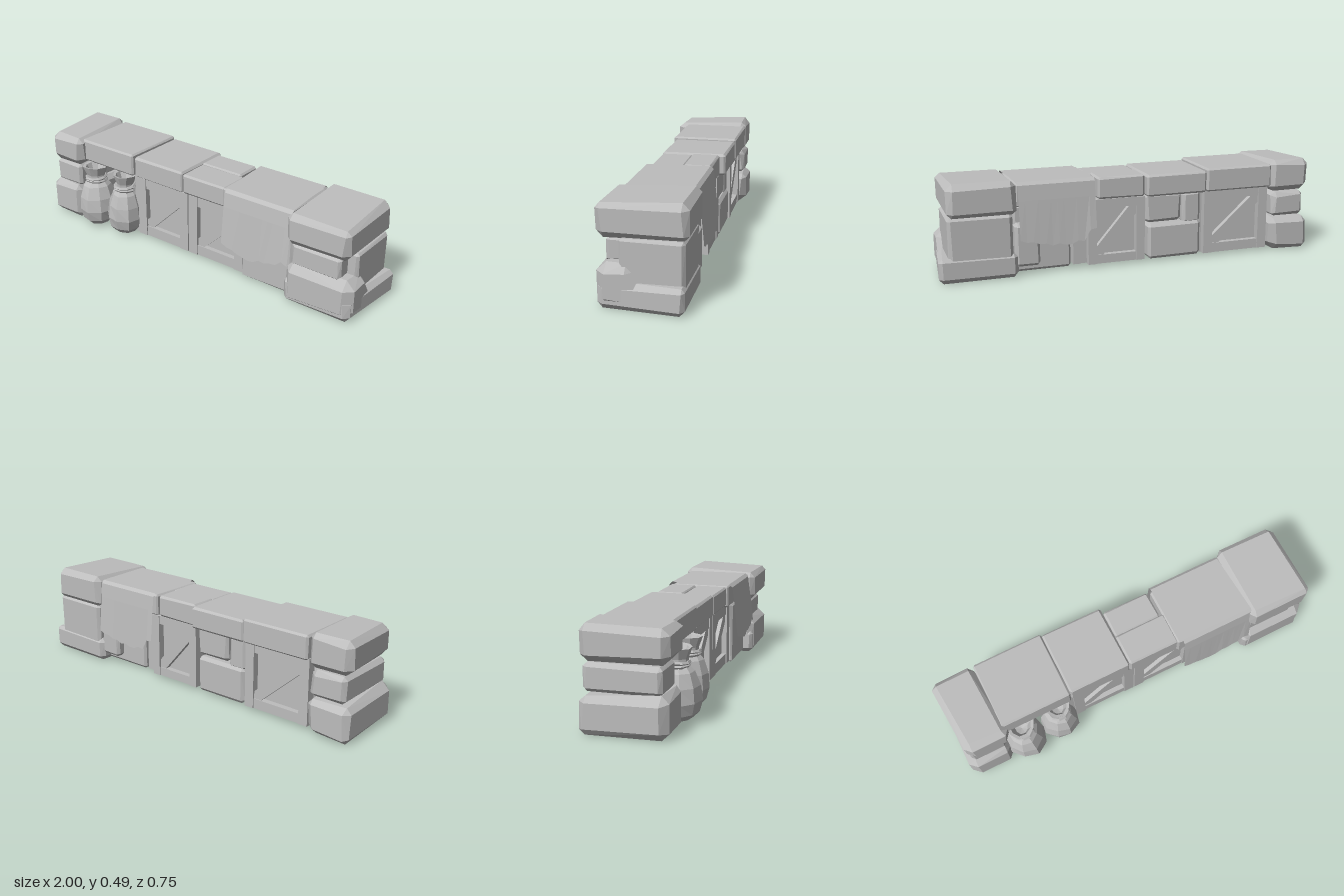
import * as THREE from 'three';
import { ConvexGeometry } from 'three/addons/geometries/ConvexGeometry.js';

export function createModel() {
  const root = new THREE.Group();
  root.name = 'barricade';
  const wall = new THREE.Group();
  wall.name = 'wall';
  wall.rotation.y = -0.185; // the wall stands at a slight angle
  root.add(wall);

  const grey = new THREE.MeshStandardMaterial({ color: 0xbdbdbd, flatShading: true, side: THREE.DoubleSide });
  grey.name = 'plain grey';

  let seed = 7;
  const rand = () => ((seed = (seed * 16807) % 2147483647) / 2147483647) - 0.5;

  function add(name, geometry, parent = wall) {
    const mesh = new THREE.Mesh(geometry, grey);
    mesh.name = name;
    parent.add(mesh);
    return mesh;
  }

  // chipped block: chamfered box with slightly uneven corners
  function rock(name, [x0, x1], [y0, y1], [z0, z1], bevel = 0.02, wobble = 0.006, warp = null) {
    const c = [(x0 + x1) / 2, (y0 + y1) / 2, (z0 + z1) / 2];
    const h = [(x1 - x0) / 2, (y1 - y0) / 2, (z1 - z0) / 2];
    const points = [];
    for (const sx of [-1, 1]) for (const sy of [-1, 1]) for (const sz of [-1, 1]) {
      const s = [sx, sy, sz];
      const b = bevel * (1 + rand() * 0.5);
      for (let axis = 0; axis < 3; axis++) {
        const v = s.map((sign, i) => c[i] + sign * (h[i] - (i === axis ? 0 : b)));
        const p = new THREE.Vector3(...v.map((n, i) => (i === axis ? n : n + rand() * wobble)));
        if (warp) warp(p);
        points.push(p);
      }
    }
    return add(name, new ConvexGeometry(points));
  }

  function box(name, [x0, x1], [y0, y1], [z0, z1], parent) {
    const mesh = add(name, new THREE.BoxGeometry(x1 - x0, y1 - y0, z1 - z0), parent);
    mesh.position.set((x0 + x1) / 2, (y0 + y1) / 2, (z0 + z1) / 2);
    return mesh;
  }

  // framed wooden face with a diagonal brace; dir is the way it faces
  function frame(name, [x0, x1], [y0, y1], z, dir, w = 0.055) {
    const g = new THREE.Group();
    g.name = name;
    wall.add(g);
    const depth = (a, b) => (dir > 0 ? [z - b, z - a] : [z + a, z + b]);
    for (const x of [x0, x1 - w]) box('post', [x, x + w], [y0, y1], depth(0, 0.04), g);
    for (const y of [y0, y1 - w]) box('rail', [x0 + w, x1 - w], [y, y + w], depth(0.005, 0.04), g);
    const dx = x1 - x0 - 2 * w, dy = y1 - y0 - 2 * w;
    const brace = box('brace', [0, Math.hypot(dx, dy)], [0, 0.055], depth(0.01, 0.036), g);
    brace.position.x = (x0 + x1) / 2;
    brace.position.y = (y0 + y1) / 2;
    brace.rotation.z = dir * Math.atan2(dy, dx);
  }

  // crate body with a recessed, braced underside
  function crate([x0, x1], z0) {
    box('crateCore', [x0, x1], [0.045, 0.345], [z0, 0.105]);
    for (const x of [x0, x1 - 0.04]) box('bottomRail', [x, x + 0.04], [0.018, 0.05], [z0, 0.1]);
    box('bottomRail', [x0, x1], [0.02, 0.05], [z0, z0 + 0.04]);
    const dx = x1 - x0 - 0.08, dz = 0.06 - z0;
    const brace = box('bottomBrace', [0, Math.hypot(dx, dz)], [0.022, 0.05], [0, 0.045]);
    brace.position.x = (x0 + x1) / 2;
    brace.position.z = (z0 + 0.1) / 2;
    brace.rotation.y = Math.atan2(dz, dx);
  }

  // left pillar
  rock('leftPillarBase', [-0.985, -0.76], [0.003, 0.203], [-0.203, 0.2], 0.032, 0.012,
    p => { if (p.y > 0.1) p.y += (p.z - 0.2) * 0.07; });
  rock('leftPillarMiddle', [-0.955, -0.77], [0.19, 0.32], [-0.19, 0.17], 0.02, 0.01);
  rock('leftPillarCap', [-0.97, -0.745], [0.325, 0.488], [-0.195, 0.2], 0.03, 0.01,
    p => { p.x += p.z * 0.07; if (p.y > 0.4) p.y -= p.z * 0.03; });

  // right pillar
  rock('rightPillarBase', [0.6, 0.97], [0.002, 0.128], [-0.19, 0.203], 0.022, 0.006,
    p => { if (p.x > 0.8) p.x -= p.z * 0.09; });
  rock('rightPillarRaisedBase', [0.6, 0.962], [0.005, 0.21], [0.035, 0.207], 0.038, 0.008,
    p => { if (p.z < 0.12 && p.y < 0.13) p.z -= 0.08; });
  rock('rightPillarBody', [0.625, 0.937], [0.08, 0.32], [-0.185, 0.105], 0.015, 0.006);
  rock('rightPillarFrontBlock', [0.62, 0.885], [0.195, 0.31], [0, 0.175], 0.018, 0.008);
  rock('rightPillarCap', [0.605, 0.938], [0.318, 0.478], [-0.2, 0.208], 0.026, 0.006,
    p => { if (p.y > 0.4) p.y -= p.z * 0.04; else p.y -= p.z * 0.015; });

  // row of top slabs
  const slabs = [
    [[-0.755, -0.387], [0.355, 0.475], [-0.195, 0.155]],
    [[-0.385, -0.06], [0.352, 0.463], [-0.19, 0.145]],
    [[-0.058, 0.212], [0.352, 0.457], [-0.02, 0.145]],
    [[-0.058, 0.19], [0.352, 0.463], [-0.16, -0.018]],
    [[0.205, 0.605], [0.345, 0.46], [-0.155, 0.155]],
  ];
  for (const s of slabs) rock('topSlab', ...s, 0.009, 0.003);

  // wooden crates, and the nook with only a thin back wall
  crate([-0.36, -0.04], -0.02);
  crate([-0.015, 0.31], -0.12);
  box('nookBackPanel', [-0.74, -0.4], [0.025, 0.355], [-0.13, -0.105]);
  box('nookPost', [-0.4, -0.37], [0.018, 0.355], [-0.13, 0.125]);
  frame('leftCrateFront', [-0.372, -0.032], [0.018, 0.35], 0.135, 1);
  frame('rightCrateFront', [-0.026, 0.32], [0.018, 0.35], 0.135, 1);
  frame('rightCrateBack', [-0.06, 0.24], [0.018, 0.35], -0.155, -1, 0.045);
  frame('nookBack', [-0.75, -0.385], [0.018, 0.355], -0.165, -1, 0.05);

  // stone infill
  rock('lowerBackStone', [-0.37, -0.08], [0.015, 0.2], [-0.16, 0.0], 0.015);
  rock('upperBackStone', [-0.37, -0.27], [0.19, 0.352], [-0.15, 0.0], 0.015);
  rock('upperBackStone', [-0.262, -0.07], [0.205, 0.352], [-0.15, 0.0], 0.015);
  rock('clothStone', [0.325, 0.612], [0.012, 0.345], [-0.13, 0.15], 0.012);
  rock('sideStone', [0.49, 0.615], [0.05, 0.265], [-0.175, 0.0], 0.015);

  // draped cloth with a torn hem
  const frontHem = [0.19, 0.175, 0.172, 0.158, 0.152, 0.145, 0.148, 0.168, 0.163, 0.175, 0.178, 0.207, 0.19];
  const backHem = [0.22, 0.215, 0.16, 0.165, 0.15, 0.15, 0.16, 0.152, 0.165, 0.165, 0.178, 0.178, 0.19];
  const cols = frontHem.length - 1;
  const cloth = new THREE.PlaneGeometry(1, 1, cols, 7);
  const pos = cloth.attributes.position;
  for (let i = 0; i <= cols; i++) {
    const section = [
      [-0.202, backHem[i]], [-0.184, 0.38], [-0.176, 0.455], [-0.16, 0.47],
      [0.155, 0.468], [0.172, 0.452], [0.182, 0.38], [0.203, frontHem[i]],
    ];
    section.forEach(([z, y], j) => {
      pos.setXYZ(j * (cols + 1) + i, 0.222 + 0.385 * i / cols + z * 0.06, y, z);
    });
  }
  add('cloth', cloth);

  // tied sacks: wide low bodies, pinched necks and flared mouths
  const profile = [[0, 0.02], [0.06, 0.015], [0.088, 0.045], [0.1, 0.1], [0.092, 0.17], [0.07, 0.235],
    [0.045, 0.265], [0.046, 0.295], [0.064, 0.345], [0.05, 0.342], [0.03, 0.295], [0, 0.285]];
  for (const [x, z, turn, lean, girth] of [[-0.662, 0.148, 0.2, 0.02, 1.08], [-0.47, 0.138, 0.9, -0.02, 1]]) {
    const sack = new THREE.Group();
    sack.name = 'sack';
    sack.position.set(x, 0, z);
    sack.rotation.z = lean;
    wall.add(sack);
    const body = new THREE.LatheGeometry(profile.map(p => new THREE.Vector2(...p)), 9);
    const bp = body.attributes.position;
    for (let i = 0; i < bp.count; i++) {
      const a = Math.atan2(bp.getX(i), bp.getZ(i));
      const k = girth * (1 + 0.05 * Math.sin(3 * a + bp.getY(i) * 10 + turn));
      bp.setX(i, bp.getX(i) * k);
      bp.setZ(i, bp.getZ(i) * k);
    }
    add('sackBody', body, sack).rotation.y = turn;
    for (const [y, tilt] of [[0.262, -0.05], [0.28, 0.1]]) {
      const tie = add('sackTie', new THREE.TorusGeometry(0.052, 0.01, 5, 10), sack);
      tie.rotation.x = Math.PI / 2 + tilt;
      tie.position.y = y;
    }
  }
  return root;
}
